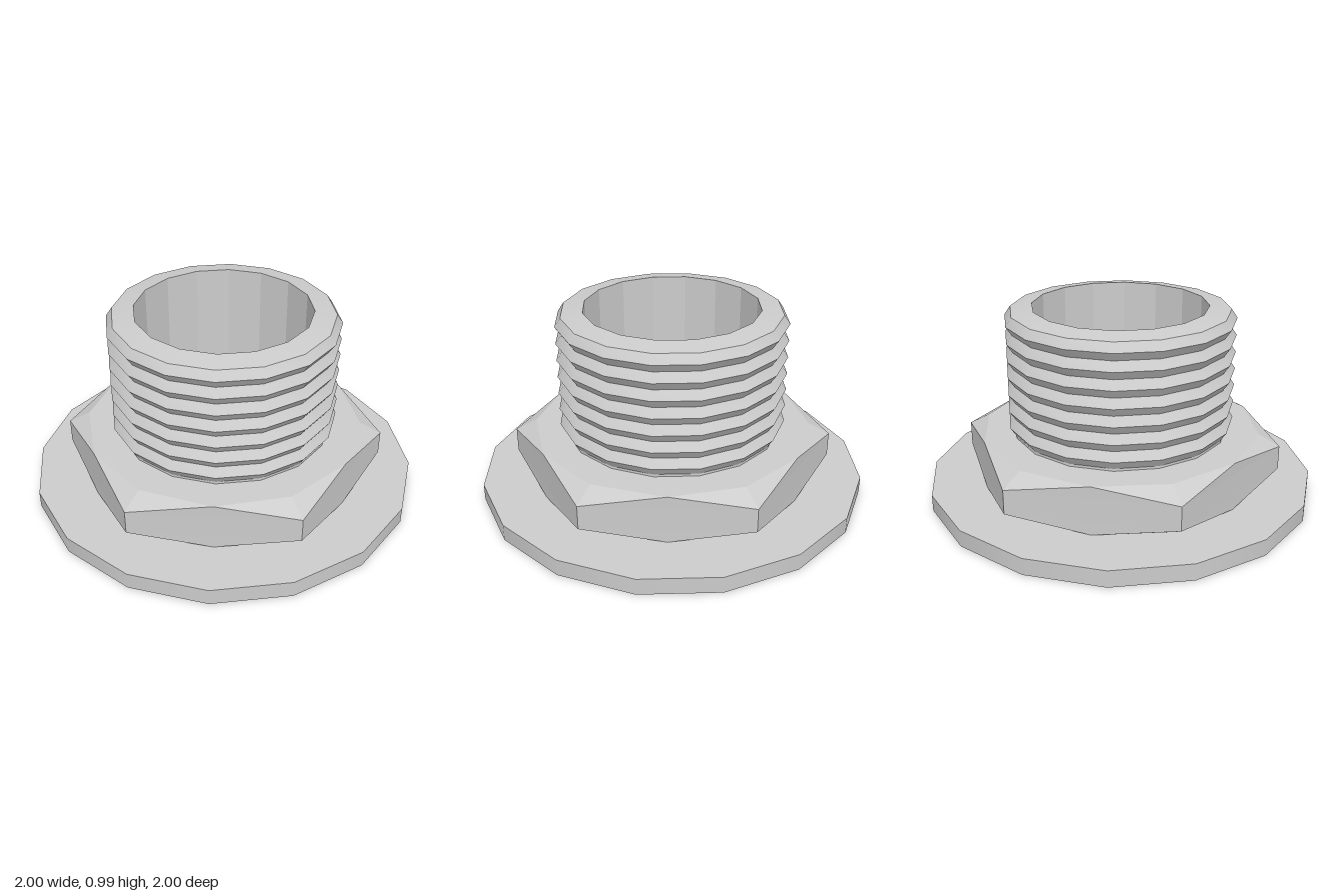
import * as THREE from 'three';
import { toCreasedNormals } from 'three/addons/utils/BufferGeometryUtils.js';

const SIDES = 16;
const BORE = 0.445, ROOT = 0.555, CREST = 0.585;
const FLANGE_TOP = 0.085, NUT_TOP = 0.335, TOP = 0.985;

const grey = (options = {}) => new THREE.MeshStandardMaterial({ color: 0xcccccc, ...options });

function add(group, name, geometry, material = grey()) {
  const mesh = new THREE.Mesh(geometry, material);
  mesh.name = name;
  group.add(mesh);
  return mesh;
}

function lathe(points) {
  return new THREE.LatheGeometry(points.map(([r, y]) => new THREE.Vector2(r, y)), SIDES);
}

// Hexagon sides whose corners are cut back by a chamfer above and below
function nutGeometry() {
  const flat = 0.72, corner = 0.83;
  const at = (step, r, y) => {
    const a = step * Math.PI / 6;
    return [r * Math.cos(a), y, -r * Math.sin(a)];
  };
  const positions = [];
  const tri = (...corners) => corners.forEach((p) => positions.push(...p));
  for (let i = 0; i < 12; i += 2) {
    const low = at(i, corner, 0.15), high = at(i, corner, 0.275);
    const nextLow = at(i + 2, corner, 0.15), nextHigh = at(i + 2, corner, 0.275);
    const midLow = at(i + 1, flat, FLANGE_TOP), midHigh = at(i + 1, flat, NUT_TOP);
    // Six-cornered side face
    tri(low, midLow, nextLow);
    tri(low, nextLow, nextHigh);
    tri(low, nextHigh, high);
    tri(high, nextHigh, midHigh);
    // Chamfers either side of the corner
    const topIn = at(i, flat, NUT_TOP), lowIn = at(i, flat, FLANGE_TOP);
    const prevHigh = at(i - 1, flat, NUT_TOP), prevLow = at(i - 1, flat, FLANGE_TOP);
    tri(high, midHigh, topIn);
    tri(high, topIn, prevHigh);
    tri(low, lowIn, midLow);
    tri(low, prevLow, lowIn);
  }
  const geometry = new THREE.BufferGeometry();
  geometry.setAttribute('position', new THREE.Float32BufferAttribute(positions, 3));
  geometry.computeVertexNormals();
  return geometry;
}

export function createModel() {
  const model = new THREE.Group();
  model.name = 'threadedPlug';

  // Base flange
  const flange = add(model, 'flange', new THREE.CylinderGeometry(1, 1, FLANGE_TOP, SIDES));
  flange.position.y = FLANGE_TOP / 2;

  // Hex nut: chamfered sides and a flat top around the pipe
  const nut = new THREE.Group();
  nut.name = 'hexNut';
  add(nut, 'nutSides', nutGeometry(), grey({ flatShading: true }));
  const nutTop = add(nut, 'nutTop', new THREE.RingGeometry(0.5, 0.72, 12));
  nutTop.rotation.x = -Math.PI / 2;
  nutTop.position.y = NUT_TOP;
  model.add(nut);

  // Threaded pipe: seven ridges, then the sloping rim
  const pitch = 0.0886;
  const profile = [[ROOT, NUT_TOP - 0.05]];
  for (let i = 0; i < 7; i++) {
    const y = 0.348 + i * pitch;
    profile.push([ROOT, y], [CREST, y + pitch / 2]);
  }
  profile.push([ROOT, 0.968], [BORE, TOP]);
  add(model, 'thread', toCreasedNormals(lathe(profile), 0.5));

  // Bore wall and dark floor
  add(model, 'boreWall', lathe([[BORE, TOP], [BORE, FLANGE_TOP]]), grey({ flatShading: true }));
  const floor = add(model, 'boreFloor', new THREE.CircleGeometry(BORE, SIDES),
    new THREE.MeshStandardMaterial({ color: 0x050505 }));
  floor.rotation.x = -Math.PI / 2;
  floor.position.y = FLANGE_TOP + 0.002;

  return model;
}
